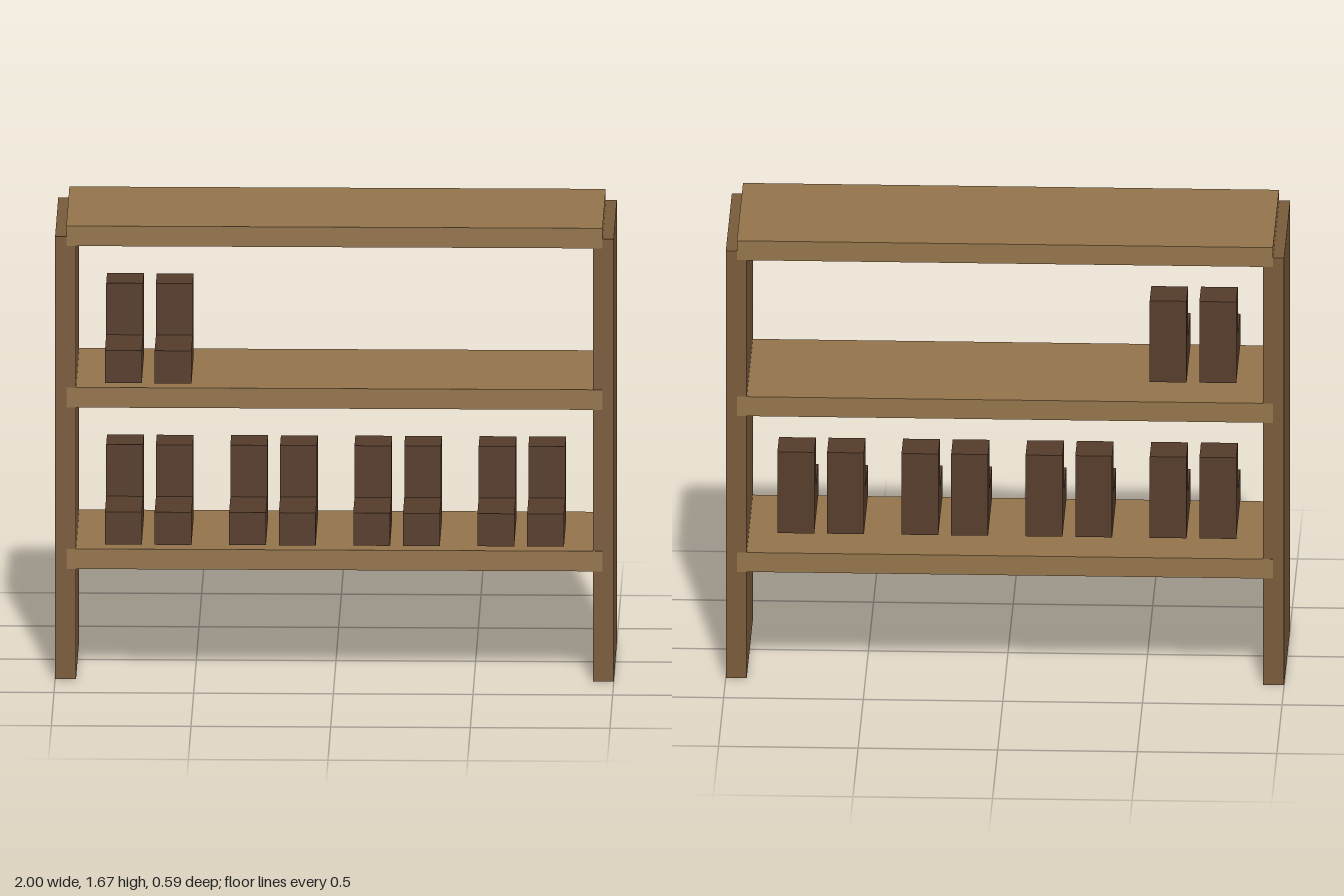
import * as THREE from 'three';

const material = (color) => new THREE.MeshStandardMaterial({ color, flatShading: true });

export function createModel() {
  const model = new THREE.Group();
  model.name = 'bootRack';
  const sideWood = material(0x785a3a);
  const shelfWood = material(0x92734a);
  const leather = material(0x553b2a);

  // Upright side panels
  for (const side of [-1, 1]) {
    const panel = new THREE.Mesh(new THREE.BoxGeometry(0.075, 1.63, 0.592), sideWood);
    panel.name = side > 0 ? 'leftPanel' : 'rightPanel';
    panel.position.set(side * 0.9625, 0.815, 0);
    model.add(panel);
  }

  // Three boards let into the panels
  const shelfTops = [0.48, 1.075, 1.67];
  shelfTops.forEach((top, i) => {
    const board = new THREE.Mesh(new THREE.BoxGeometry(1.92, 0.074, 0.594), shelfWood);
    board.name = ['lowerShelf', 'upperShelf', 'topBoard'][i];
    board.position.set(0, top - 0.037, 0);
    model.add(board);
  });

  // Boot: L-shaped side outline (z, y), extruded across its width
  const width = 0.132, height = 0.31, footHeight = 0.12;
  const back = -0.12, ankle = 0.032, toe = 0.27;
  const outline = new THREE.Shape([
    [back, 0], [toe, 0], [toe, footHeight], [ankle, footHeight], [ankle, height], [back, height],
  ].map(([z, y]) => new THREE.Vector2(z, y)));
  const bootGeometry = new THREE.ExtrudeGeometry(outline, { depth: width, bevelEnabled: false });
  bootGeometry.translate(0, 0, -width / 2).rotateY(-Math.PI / 2);

  const addPair = (x, shelfTop) => {
    const pair = new THREE.Group();
    pair.name = 'bootPair';
    for (const side of [-1, 1]) {
      const boot = new THREE.Mesh(bootGeometry, leather);
      boot.name = side > 0 ? 'leftBoot' : 'rightBoot';
      boot.position.x = side * 0.089;
      pair.add(boot);
    }
    pair.position.set(x, shelfTop + 0.01, 0);
    model.add(pair);
  };

  // Four pairs below, one pair above
  for (let i = 0; i < 4; i++) addPair(-0.667 + i * 0.4445, shelfTops[0]);
  addPair(-0.667, shelfTops[1]);

  return model;
}
